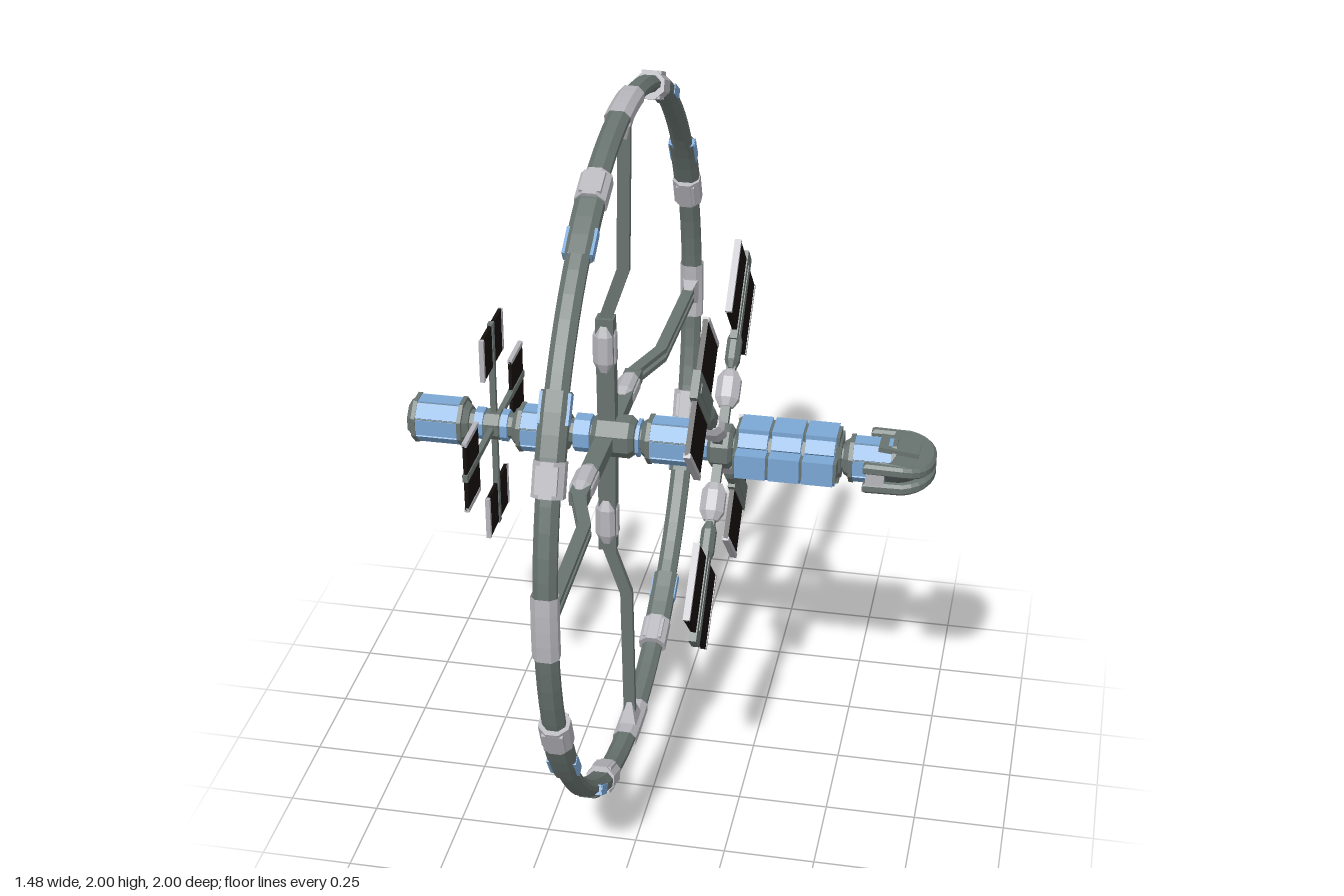
import * as THREE from 'three';

const mat = (color, extra = {}) => new THREE.MeshStandardMaterial({ color, flatShading: true, ...extra });
const hull = mat(0x68736f);
const hullOpen = mat(0x68736f, { side: THREE.DoubleSide });
const pale = mat(0xb6b6bc);
const paleOpen = mat(0xb6b6bc, { side: THREE.DoubleSide });
const blue = mat(0x7ba7d4);
const black = mat(0x14100e);
const dark = mat(0x3c4241);
const rad = THREE.MathUtils.degToRad;

function add(parent, name, geometry, material, x = 0, y = 0, z = 0) {
  const mesh = new THREE.Mesh(geometry, material);
  mesh.name = name;
  mesh.position.set(x, y, z);
  parent.add(mesh);
  return mesh;
}
const box = (parent, name, material, w, h, d, x, y, z) =>
  add(parent, name, new THREE.BoxGeometry(w, h, d), material, x, y, z);

// Group whose +y points outward at the given angle around the x axis
function radial(parent, name, degrees) {
  const g = new THREE.Group();
  g.name = name;
  g.rotation.x = rad(degrees);
  parent.add(g);
  return g;
}

// Octagonal solid along x; profile is a list of [x, apothem]
function octagon(parent, name, material, profile) {
  const pts = profile.map(([x, r]) => new THREE.Vector2(r / Math.cos(Math.PI / 8), x));
  pts.unshift(new THREE.Vector2(0, profile[0][0]));
  pts.push(new THREE.Vector2(0, profile[profile.length - 1][0]));
  const g = new THREE.LatheGeometry(pts, 8, Math.PI / 8);
  return add(parent, name, g.rotateZ(-Math.PI / 2), material);
}

// Arc with a chamfered rectangular section, swept around x
function ringArc(parent, name, material, r0, r1, halfX, start, length, segments) {
  const c = 0.016;
  const pts = [[r1 - c, -halfX], [r1, -halfX + c], [r1, halfX - c], [r1 - c, halfX],
    [r0 + c, halfX], [r0, halfX - c], [r0, -halfX + c], [r0 + c, -halfX], [r1 - c, -halfX]]
    .map(([r, y]) => new THREE.Vector2(r, y));
  const g = new THREE.LatheGeometry(pts, segments, rad(start), rad(length));
  return add(parent, name, g.rotateZ(-Math.PI / 2), material, -0.12);
}

// Straight bar between two [x, y] points at offset z
function beam(parent, name, material, a, b, width, depth, z = 0) {
  const dx = b[0] - a[0], dy = b[1] - a[1];
  const m = box(parent, name, material, width, Math.hypot(dx, dy) + 0.008, depth,
    (a[0] + b[0]) / 2, (a[1] + b[1]) / 2, z);
  m.rotation.z = -Math.atan2(dx, dy);
}

// Pod with tapered ends along local y
function pod(parent, name, x, y0, y1, hx, hz, material = pale) {
  const t = (y1 - y0) * 0.22;
  const pts = [[0, y0], [0.6, y0], [1, y0 + t], [1, y1 - t], [0.6, y1], [0, y1]]
    .map(([r, y]) => new THREE.Vector2(r / Math.cos(Math.PI / 8), y));
  const g = new THREE.LatheGeometry(pts, 8, Math.PI / 8);
  g.scale(hx, 1, hz);
  add(parent, name, g, material, x);
}

// Pressurised module: octagonal core clad in blue plates
function habitat(parent, x0, x1, r) {
  const g = new THREE.Group();
  g.name = 'habitatModule';
  parent.add(g);
  octagon(g, 'moduleCore', hull, [[x0, r * 0.7], [x0 + 0.022, r - 0.004], [x1 - 0.022, r - 0.004], [x1, r * 0.7]]);
  for (let i = 0; i < 8; i++) {
    const side = radial(g, 'cladding', i * 45);
    box(side, 'bluePlate', blue, x1 - x0 - 0.05, 0.01, r * 0.72, (x0 + x1) / 2, r - 0.005, 0);
  }
  for (const x of [x0 + 0.022, x1 - 0.022])
    octagon(g, 'moduleBand', hull, [[x - 0.006, r + 0.002], [x + 0.006, r + 0.002]]);
}

function buildRing(parent) {
  const ring = new THREE.Group();
  ring.name = 'ring';
  parent.add(ring);
  ringArc(ring, 'ringTube', hull, 0.948, 0.993, 0.03, 0, 360, 96);
  for (let q = 0; q < 4; q++) {
    ringArc(ring, 'spokeJoint', paleOpen, 0.945, 1, 0.034, q * 90 - 5.2, 10.4, 4);
    ringArc(ring, 'collar', hullOpen, 0.944, 0.997, 0.037, q * 90 + 22.5, 12.5, 4);
    ringArc(ring, 'collar', hullOpen, 0.944, 0.997, 0.037, q * 90 + 55, 12.5, 4);
    for (const a of [22.5, 67.5]) {
      const g = radial(ring, 'clampMount', q * 90 + a);
      const clamp = new THREE.CylinderGeometry(1, 1, 0.09, 8).rotateY(Math.PI / 8).rotateX(Math.PI / 2);
      clamp.scale(0.043, 0.042, 1);
      add(g, 'clamp', clamp, pale, -0.12, 0.966, 0);
      box(g, 'clampPad', pale, 0.055, 0.076, 0.07, -0.12, 0.967, 0);
    }
    for (const a of [32.5, 57.5]) {
      const g = radial(ring, 'windowMount', q * 90 + a);
      box(g, 'ringWindow', blue, 0.078, 0.028, 0.078, -0.12, 0.972, 0);
    }
  }
}

function buildSpoke(parent, degrees, twin) {
  const g = radial(parent, 'spoke', degrees);
  const path = [[-0.175, 0.02], [-0.178, 0.36], [-0.127, 0.51], [-0.12, 0.95]];
  beam(g, 'innerSpoke', hull, path[0], path[1], 0.05, 0.04);
  const rails = twin ? [-0.014, 0.014] : [0];
  for (const z of rails) {
    beam(g, 'spokeElbow', hull, path[1], path[2], 0.034, twin ? 0.014 : 0.02, z);
    beam(g, 'outerSpoke', hull, path[2], path[3], 0.034, twin ? 0.014 : 0.02, z);
  }
  pod(g, 'spokePod', -0.18, 0.2, 0.345, 0.032, 0.032);
  // Flared foot where the spoke meets the ring
  const foot = new THREE.CylinderGeometry(0.018, 0.058, 0.065, 4).rotateY(Math.PI / 4).rotateX(Math.PI);
  foot.scale(0.6, 1, 1);
  add(g, 'spokeFoot', foot, pale, -0.12, 0.92, 0);
}

// Pair of panels either side of a boom
function buildArray(parent, degrees, x, p) {
  const g = radial(parent, 'solarArray', degrees);
  const mid = (p.r0 + p.r1) / 2, len = p.r1 - p.r0;
  box(g, 'boom', hull, p.rod, p.r1 - 0.02, p.rod, x, p.r1 / 2, 0);
  box(g, 'panelSpine', hull, p.thick * 1.5, len + p.over, p.spine, x, mid, 0);
  for (const s of [-1, 1]) {
    const w = p.half - p.spine / 2;
    box(g, 'solarPanel', black, p.thick, len, w, x, mid, s * (p.spine / 2 + w / 2));
    box(g, 'panelEdge', pale, p.thick * 1.3, len, 0.013, x, mid, s * p.half);
  }
  return g;
}

// Cargo section: blue containers around a framed core
function buildCargo(parent) {
  const g = new THREE.Group();
  g.name = 'cargoSection';
  parent.add(g);
  octagon(g, 'cargoCore', hull, [[0.185, 0.05], [0.2, 0.064], [0.465, 0.064], [0.48, 0.05]]);
  for (let i = 0; i < 3; i++) {
    const x = 0.24 + i * 0.092;
    box(g, 'topContainer', blue, 0.084, 0.05, 0.085, x, 0.056, 0);
    box(g, 'bottomContainer', blue, 0.084, 0.05, 0.085, x, -0.045, 0);
    for (const s of [-1, 1]) {
      box(g, 'sideContainer', blue, 0.084, 0.07, 0.06, x, 0, s * 0.08);
      for (const v of [-1, 1]) {
        const m = box(g, 'cornerContainer', blue, 0.08, 0.016, 0.04, x, v * 0.05, s * 0.054);
        m.rotation.x = s * v * Math.PI / 4;
      }
    }
  }
  for (let i = 0; i < 4; i++) {
    box(g, 'containerFrame', hull, 0.008, 0.055, 0.2, 0.194 + i * 0.092, 0, 0);
    box(g, 'containerFrame', hull, 0.008, 0.14, 0.07, 0.194 + i * 0.092, 0.005, 0);
  }
}

// Horseshoe command head, made of two jaws around a recessed core
function buildHead(parent) {
  const g = new THREE.Group();
  g.name = 'commandHead';
  parent.add(g);
  const s = new THREE.Shape();
  s.moveTo(0.555, 0.106);
  s.lineTo(0.655, 0.106);
  s.quadraticCurveTo(0.727, 0.095, 0.727, 0);
  s.quadraticCurveTo(0.727, -0.095, 0.655, -0.106);
  s.lineTo(0.555, -0.106);
  [[0.555, -0.092], [0.615, -0.092], [0.63, -0.06], [0.63, 0.06], [0.615, 0.092], [0.555, 0.092]]
    .forEach(([x, z]) => s.lineTo(x, z));
  for (const v of [-1, 1]) {
    const geo = new THREE.ExtrudeGeometry(s, {
      depth: 0.016, bevelEnabled: true, bevelThickness: 0.008, bevelSize: 0.008, bevelSegments: 1, curveSegments: 6,
    });
    geo.rotateX(Math.PI / 2).translate(0, v * 0.028 + 0.008, 0);
    // Jaws slope together towards the nose
    const p = geo.attributes.position;
    for (let i = 0; i < p.count; i++) {
      const slope = Math.max(0, p.getX(i) - 0.64) * 0.13;
      p.setY(i, p.getY(i) - v * slope);
    }
    geo.computeVertexNormals();
    add(g, 'jaw', geo, hull);
    box(g, 'crownPlate', hull, 0.11, 0.014, 0.08, 0.635, v * 0.05, 0).rotation.z = -v * 0.1;
    box(g, 'armPod', pale, 0.05, 0.05, 0.022, 0.58, 0, v * 0.1);
  }
  const core = new THREE.ExtrudeGeometry(s, { depth: 0.04, bevelEnabled: false, curveSegments: 6 });
  core.rotateX(Math.PI / 2).translate(-0.645, 0.02, 0).scale(0.88, 1, 0.9).translate(0.635, 0, 0);
  add(g, 'headCore', core, dark);
}

export function createModel() {
  const model = new THREE.Group();
  model.name = 'spaceStation';
  const station = new THREE.Group();
  station.name = 'station';
  station.position.y = 1;
  model.add(station);

  // Central spine and its modules
  octagon(station, 'spine', hull, [[-0.73, 0.034], [0.6, 0.034]]);
  for (const [a, b, r] of [[-0.74, -0.565, 0.063], [-0.44, -0.28, 0.063], [-0.075, 0.085, 0.063], [0.485, 0.645, 0.06]])
    habitat(station, a, b, r);
  for (const [a, b, r] of [[-0.55, -0.525, 0.042], [-0.475, -0.455, 0.042], [-0.265, -0.22, 0.05],
    [-0.09, -0.08, 0.05], [0.09, 0.11, 0.042]])
    octagon(station, 'connector', blue, [[a, r], [b, r]]);
  octagon(station, 'ringHub', hull, [[-0.215, 0.045], [-0.2, 0.056], [-0.11, 0.056], [-0.095, 0.045]]);
  octagon(station, 'arrayHub', hull, [[0.112, 0.046], [0.122, 0.058], [0.17, 0.058], [0.18, 0.046]]);
  octagon(station, 'smallArrayHub', hull, [[-0.52, 0.04], [-0.48, 0.04]]);

  buildRing(station);
  for (let q = 0; q < 4; q++) {
    buildSpoke(station, q * 90, q % 2 === 1);
    buildArray(station, q * 90, -0.5, { r0: 0.185, r1: 0.31, half: 0.1, spine: 0.022, thick: 0.01, rod: 0.016, over: 0.01 });
    const big = buildArray(station, q * 90 + 45, 0.142,
      { r0: 0.325, r1: 0.535, half: 0.183, spine: 0.075, thick: 0.014, rod: 0.026, over: 0.05 });
    pod(big, 'arrayPod', 0.142, 0.11, 0.215, 0.033, 0.029);
    pod(big, 'boomSleeve', 0.142, 0.22, 0.33, 0.02, 0.028, hull);
  }
  buildCargo(station);
  buildHead(station);
  return model;
}
